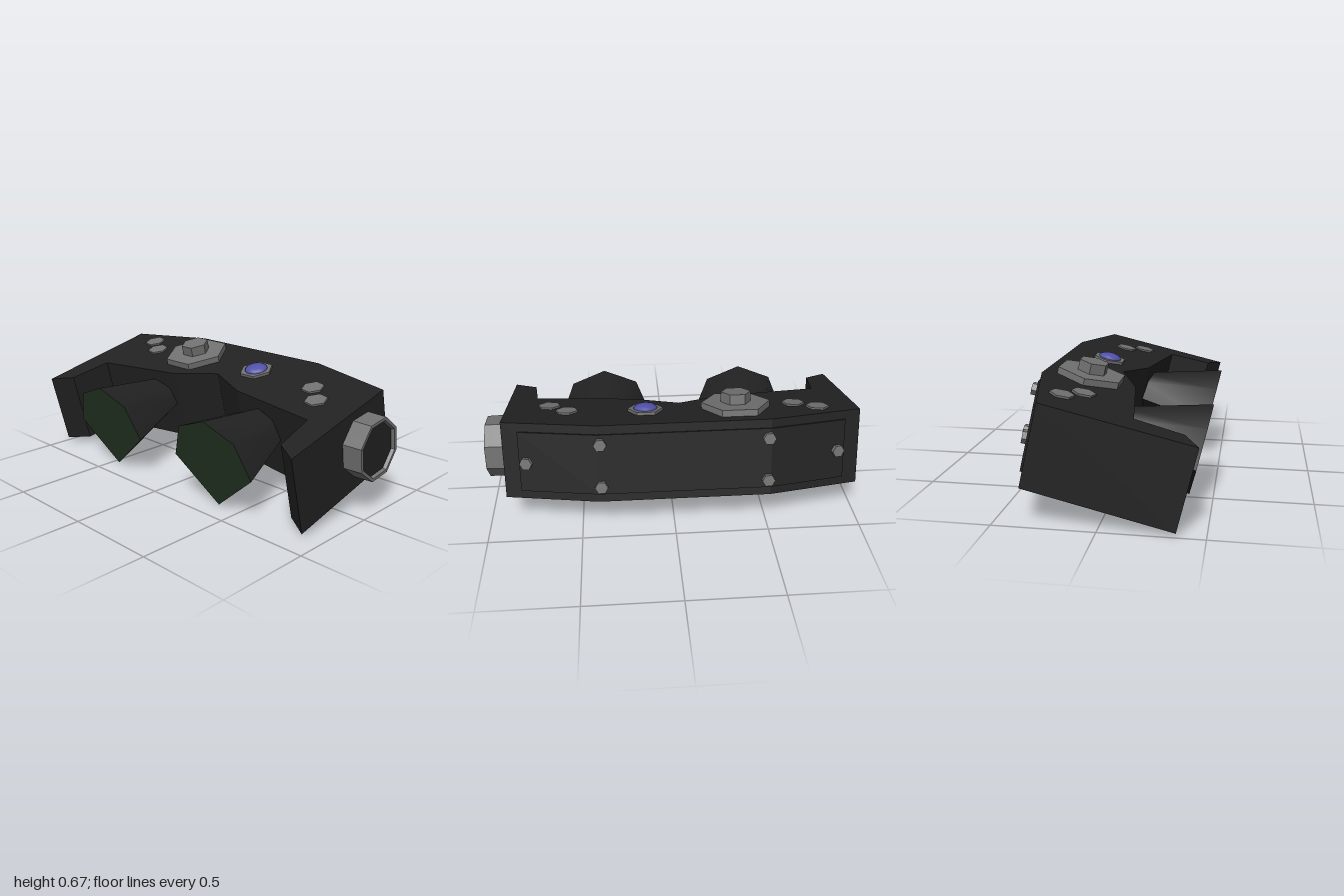
import * as THREE from 'three';
import { toCreasedNormals } from 'three/addons/utils/BufferGeometryUtils.js';

const mat = (name, color) => Object.assign(new THREE.MeshStandardMaterial({ color }), { name });

export function createModel() {
  const shell = mat('black shell', 0x222222);
  const metal = mat('grey metal', 0x717171);
  const glass = mat('dark green glass', 0x213321);
  const blue = mat('blue button', 0x5151a8);

  const model = new THREE.Group();
  model.name = 'goggles';
  // The whole headset is pitched forward
  const headset = new THREE.Group();
  headset.name = 'headset';
  headset.rotation.x = 0.232;
  headset.position.x = -0.05;
  model.add(headset);

  const add = (name, geo, material, x = 0, y = 0, z = 0) => {
    const m = new THREE.Mesh(geo, material);
    m.name = name;
    m.position.set(x, y, z);
    headset.add(m);
    return m;
  };

  // Extrude a plan outline (x, z) mirrored over x = 0 upwards from y0 to y1
  const slab = (half, y0, y1) => {
    const mirrored = half.map(([x, z]) => [-x, z]).reverse();
    const pts = [...half, ...mirrored].map(([x, z]) => new THREE.Vector2(x, -z));
    const geo = new THREE.ExtrudeGeometry(new THREE.Shape(pts), { depth: y1 - y0, bevelEnabled: false });
    return geo.rotateX(-Math.PI / 2).translate(0, y0, 0);
  };

  // Main shell with side arms and nose notch
  add('shell', slab([
    [0.001, -0.16], [0.25, -0.05], [0.79, 0.03], [0.82, 0.271],
    [0.945, 0.348], [0.945, -0.393], [0.45, -0.51],
  ], 0.105, 0.522), shell);

  // Raised plate on the back
  add('backPlate', slab([
    [0.45, -0.5], [0.86, -0.403], [0.86, -0.423], [0.45, -0.519],
  ], 0.15, 0.475), shell);

  // Tapered eye tubes with glass fronts
  const rim = [[0, -0.235], [0.268, -0.005], [0.192, 0.185], [0, 0.26], [-0.192, 0.185], [-0.268, -0.005]];
  const tubeGeometry = (zBack, zFront, scale) => {
    const pos = [];
    rim.forEach(([ax, ay], i) => {
      const [bx, by] = rim[(i + 1) % rim.length];
      const a0 = [ax * scale, ay * scale, zBack], b0 = [bx * scale, by * scale, zBack];
      const a1 = [ax, ay, zFront], b1 = [bx, by, zFront];
      pos.push(...a0, ...b0, ...b1, ...a0, ...b1, ...a1);
    });
    const geo = new THREE.BufferGeometry();
    geo.setAttribute('position', new THREE.Float32BufferAttribute(pos, 3));
    return toCreasedNormals(geo, 0.9);
  };
  const lensGeo = new THREE.ShapeGeometry(new THREE.Shape(rim.map(p => new THREE.Vector2(...p))));
  for (const s of [-1, 1]) {
    const side = s > 0 ? 'left' : 'right';
    add(side + 'EyeTube', tubeGeometry(-0.1, 0.365, 0.45), shell, s * 0.412, 0.325, 0);
    add(side + 'Lens', lensGeo, glass, s * 0.412, 0.325, 0.365);
  }

  // Flat-sided prism standing on the top face, corner towards x
  const prism = (r, h, n = 6, turn = Math.PI / 2) =>
    new THREE.CylinderGeometry(r, r, h, n).rotateY(turn).toNonIndexed();
  const top = 0.522;
  const flat = geo => { geo.computeVertexNormals(); return geo; };

  // Large hexagonal dial
  add('dialBase', flat(prism(0.185, 0.05)), metal, -0.295, top + 0.01, -0.285);
  add('dialKnob', flat(prism(0.08, 0.07)), metal, -0.295, top + 0.055, -0.285);

  // Blue push button on a hexagonal plate
  add('buttonPlate', flat(prism(0.095, 0.03)), metal, 0.19, top, -0.28);
  const dome = new THREE.SphereGeometry(0.065, 12, 4, 0, Math.PI * 2, 0, Math.PI / 2).scale(1, 0.4, 1);
  add('button', dome, blue, 0.19, top + 0.015, -0.28);

  // Flat hexagonal bolts on the top
  for (const [x, z] of [[-0.73, -0.33], [-0.615, -0.25], [0.61, -0.25], [0.71, -0.145]])
    add('topBolt', flat(prism(0.061, 0.02, 6, 0.3)), metal, x, top, z);

  // Screws on the back, mirrored, following the angled sides
  for (const s of [-1, 1])
    for (const [x, y, z, yaw] of [[0.435, 0.425, -0.525, 0], [0.435, 0.194, -0.525, 0], [0.82, 0.308, -0.436, 0.232]]) {
      const geo = flat(prism(0.034, 0.036).rotateX(-Math.PI / 2));
      add('backScrew', geo, metal, s * x, y, z).rotation.y = -s * yaw;
    }

  // Side dial: a hollow eight-sided ring with a dark recessed face
  const ring = [[0.168, 0], [0.165, 0.105], [0.148, 0.105], [0.142, 0.085]].map(p => new THREE.Vector2(...p));
  const ringGeo = flat(new THREE.LatheGeometry(ring, 8).rotateZ(-Math.PI / 2).rotateX(0.3).toNonIndexed());
  add('sideDialRing', ringGeo, metal, 0.945, 0.319, -0.173);
  const faceGeo = flat(new THREE.CylinderGeometry(0.145, 0.145, 0.08, 8).rotateZ(-Math.PI / 2).rotateX(0.3).toNonIndexed());
  add('sideDialFace', faceGeo, shell, 0.992, 0.319, -0.173);

  return model;
}
